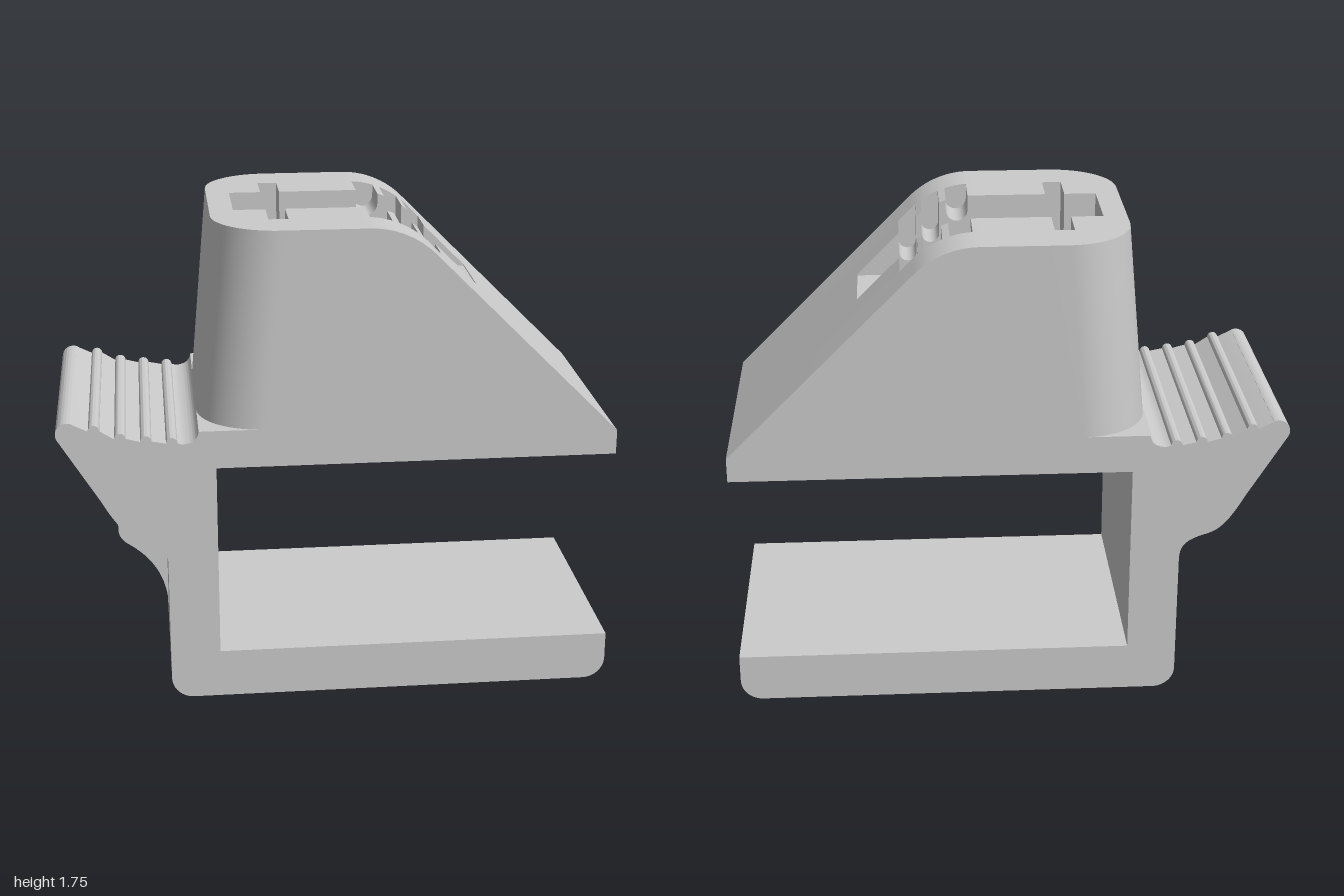
import * as THREE from 'three';
import { toCreasedNormals } from 'three/addons/utils/BufferGeometryUtils.js';

const HALF = 0.45;      // half depth of the clamp
const CORNER = 0.235;   // plan radius of the tower's back corners
const POCKET = 0.135;   // half width of the central pocket
const SLOT = 0.285;     // half width across the side slots
const BASE = 1.04;      // height where the tower starts

const material = new THREE.MeshStandardMaterial({ color: 0xcccccc });

function addMesh(group, name, geometry) {
  const mesh = new THREE.Mesh(toCreasedNormals(geometry, 0.5), material);
  mesh.name = name;
  group.add(mesh);
}

// Extrudes a shape centred on z = 0
function extrude(shape, depth) {
  return new THREE.ExtrudeGeometry(shape, { depth, bevelEnabled: false, curveSegments: 14 })
    .translate(0, 0, -depth / 2);
}

// C-shaped clamp with its ribbed thumb lever
function clampShape() {
  const s = new THREE.Shape();
  s.moveTo(-0.54, 0);
  s.lineTo(0.92, 0);
  s.absarc(0.92, 0.08, 0.08, -Math.PI / 2, 0, false);
  s.lineTo(1, 0.18);
  s.lineTo(-0.44, 0.18);
  s.lineTo(-0.44, 0.9);
  s.lineTo(1, 0.9);
  s.lineTo(1, 0.99);
  s.lineTo(0.95, BASE);
  s.lineTo(-0.5, BASE);
  s.quadraticCurveTo(-0.505, 0.995, -0.56, 0.995);
  // grip ribs
  for (const [x, y] of [[-0.595, 1], [-0.685, 1.01], [-0.775, 1.023], [-0.865, 1.055]]) {
    s.absarc(x, y, 0.02, 0, Math.PI, false);
  }
  // rounded lever tip and underside
  s.lineTo(-0.94, 1.082);
  s.absarc(-0.957, 1.045, 0.042, 1.15, 3.6, false);
  s.lineTo(-0.85, 0.79);
  s.bezierCurveTo(-0.76, 0.62, -0.73, 0.66, -0.66, 0.62);
  s.quadraticCurveTo(-0.62, 0.6, -0.62, 0.54);
  s.lineTo(-0.62, 0.08);
  s.absarc(-0.54, 0.08, 0.08, Math.PI, Math.PI * 1.5, false);
  return s;
}

// Lug with a pin hole below the lever
function lugShape() {
  const s = new THREE.Shape();
  s.moveTo(-0.6, 0.2);
  s.lineTo(-0.6, 0.7);
  s.lineTo(-0.76, 0.82);
  s.lineTo(-0.85, 0.79);
  s.quadraticCurveTo(-0.8, 0.72, -0.8, 0.66);
  s.lineTo(-0.8, 0.53);
  s.quadraticCurveTo(-0.8, 0.49, -0.757, 0.465);
  s.quadraticCurveTo(-0.62, 0.37, -0.62, 0.2);
  const hole = new THREE.Path();
  hole.absarc(-0.71, 0.54, 0.036, 0, Math.PI * 2, true);
  s.holes.push(hole);
  return s;
}

// Height of the tower: flat, then an arc, then a 45 degree slope
function topY(x) {
  if (x <= 0.1) return 1.755;
  if (x >= 0.33) return 1.99 - x;
  return 1.429 + Math.sqrt(0.326 ** 2 - (x - 0.1) ** 2);
}

// Side profile of the tower; each cut lists its floor points from right to left
function towerShape(cuts) {
  const points = [[-0.5, BASE], [0.95, BASE]];
  const surface = (from, to) => {
    points.push([from, topY(from)]);
    for (let i = 12; i >= 0; i--) {
      const x = 0.1 + (0.23 * i) / 12;
      if (x < from - 0.002 && x > to + 0.002) points.push([x, topY(x)]);
    }
    points.push([to, topY(to)]);
  };
  let start = 0.95;
  for (const cut of cuts) {
    surface(start, cut[0][0]);
    points.push(...cut);
    start = cut[cut.length - 1][0];
  }
  surface(start, -0.435);
  return new THREE.Shape(points.slice(0, 2).concat(points.slice(start === 0.95 ? 3 : 2))
    .map(([x, y]) => new THREE.Vector2(x, y)));
}

// Slot with a half-round floor
function roundSlot(x0, x1, bottom) {
  const r = (x1 - x0) / 2;
  return Array.from({ length: 11 }, (_, i) => {
    const a = (i / 10) * Math.PI;
    return [x0 + r + r * Math.cos(a), bottom + r - r * Math.sin(a)];
  });
}

// One depth band of the tower; the back edge follows the plan corner radius
function towerBand(shape, steps, zAt) {
  const g = new THREE.ExtrudeGeometry(shape, { depth: 1, steps, bevelEnabled: false });
  const p = g.attributes.position;
  for (let i = 0; i < p.count; i++) {
    const z = zAt(p.getZ(i));
    const d = Math.min(CORNER, Math.max(0, Math.abs(z) - (HALF - CORNER)));
    const inset = CORNER - Math.sqrt(CORNER * CORNER - d * d);
    const x = p.getX(i);
    p.setXYZ(i, x < -0.42 ? x + inset : x, p.getY(i), z);
  }
  return g;
}

export function createModel() {
  const model = new THREE.Group();
  model.name = 'clampMount';

  addMesh(model, 'clampBody', extrude(clampShape(), HALF * 2));
  addMesh(model, 'pinLug', extrude(lugShape(), 0.2));

  const tower = new THREE.Group();
  tower.name = 'tower';
  model.add(tower);

  // central band with the stepped pocket
  const pocket = [[0.53, 1.455], [-0.145, 1.455], [-0.145, 1.36], [-0.35, 1.36]];
  addMesh(tower, 'pocketBand', towerBand(towerShape([pocket]), 1, t => (t * 2 - 1) * POCKET));

  // bands with the cross slots, and plain outer walls
  const slots = [
    roundSlot(0.31, 0.375, 1.51),
    roundSlot(0.225, 0.29, 1.58),
    roundSlot(0.12, 0.2, 1.66),
    [[-0.165, 1.45], [-0.235, 1.45]],
  ];
  const a0 = Math.asin((SLOT - HALF + CORNER) / CORNER);
  const slotZ = t => POCKET + (SLOT - POCKET) * t;
  const wallZ = t => HALF - CORNER + CORNER * Math.sin(a0 + t * (Math.PI / 2 - a0));
  for (const [side, label] of [[1, 'front'], [-1, 'back']]) {
    const mirrored = f => t => (side > 0 ? f(t) : -f(1 - t));
    addMesh(tower, label + 'SlotBand', towerBand(towerShape(slots), 8, mirrored(slotZ)));
    addMesh(tower, label + 'Wall', towerBand(towerShape([]), 14, mirrored(wallZ)));
  }
  return model;
}
